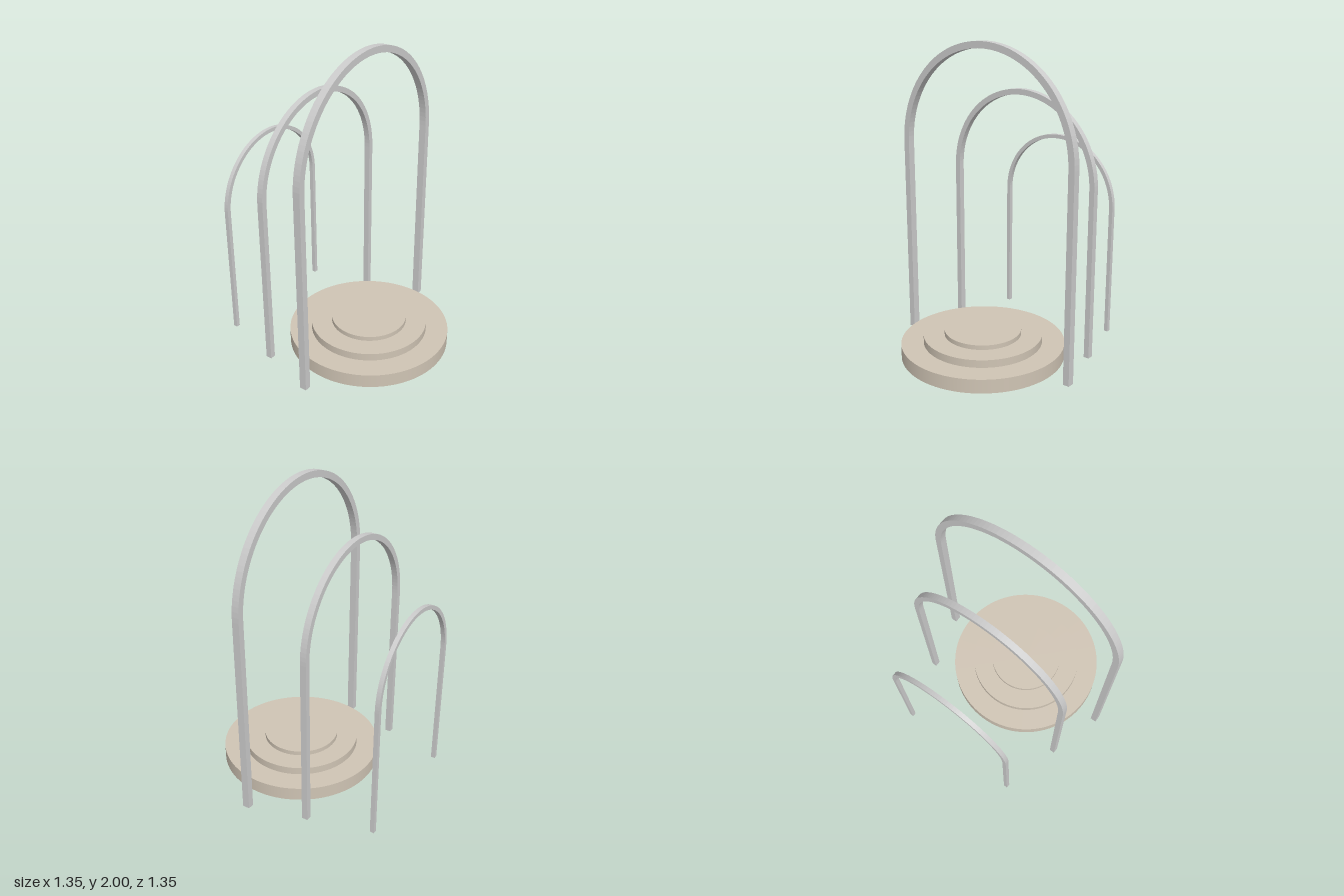
import * as THREE from 'three';

const metal = new THREE.MeshStandardMaterial({ color: 0xcccccc });
const stone = new THREE.MeshStandardMaterial({ color: 0xcfc4b4 });

// Round-topped frame: two straight legs joined by a half circle
function makeArch(name, radius, height, thickness, depth, z) {
  const inner = radius - thickness;
  const spring = height - radius;
  const shape = new THREE.Shape();
  shape.moveTo(inner, 0);
  shape.lineTo(radius, 0);
  shape.lineTo(radius, spring);
  shape.absarc(0, spring, radius, 0, Math.PI, false);
  shape.lineTo(-radius, 0);
  shape.lineTo(-inner, 0);
  shape.lineTo(-inner, spring);
  shape.absarc(0, spring, inner, Math.PI, 0, true);
  shape.closePath();
  const geometry = new THREE.ExtrudeGeometry(shape, { depth, bevelEnabled: false, curveSegments: 32 });
  geometry.translate(0, 0, z - depth / 2);
  const mesh = new THREE.Mesh(geometry, metal);
  mesh.name = name;
  return mesh;
}

// Round platform step between two heights
function makeStep(name, radius, bottom, top) {
  const mesh = new THREE.Mesh(new THREE.CylinderGeometry(radius, radius, top - bottom, 96), stone);
  mesh.position.y = (bottom + top) / 2;
  mesh.name = name;
  return mesh;
}

export function createModel() {
  const model = new THREE.Group();
  model.name = 'archBackdropWithPodium';

  // Three arches, shrinking towards the back
  model.add(
    makeArch('frontArch', 0.675, 2, 0.042, 0.047, 0.124),
    makeArch('middleArch', 0.567, 1.68, 0.036, 0.04, -0.25),
    makeArch('backArch', 0.447, 1.325, 0.026, 0.028, -0.661),
  );

  // Stepped round podium
  const podium = new THREE.Group();
  podium.name = 'podium';
  podium.position.z = 0.148;
  podium.add(
    makeStep('lowerStep', 0.526, 0.01, 0.1),
    makeStep('middleStep', 0.382, 0.1, 0.15),
    makeStep('upperStep', 0.247, 0.15, 0.18),
  );
  model.add(podium);
  return model;
}
